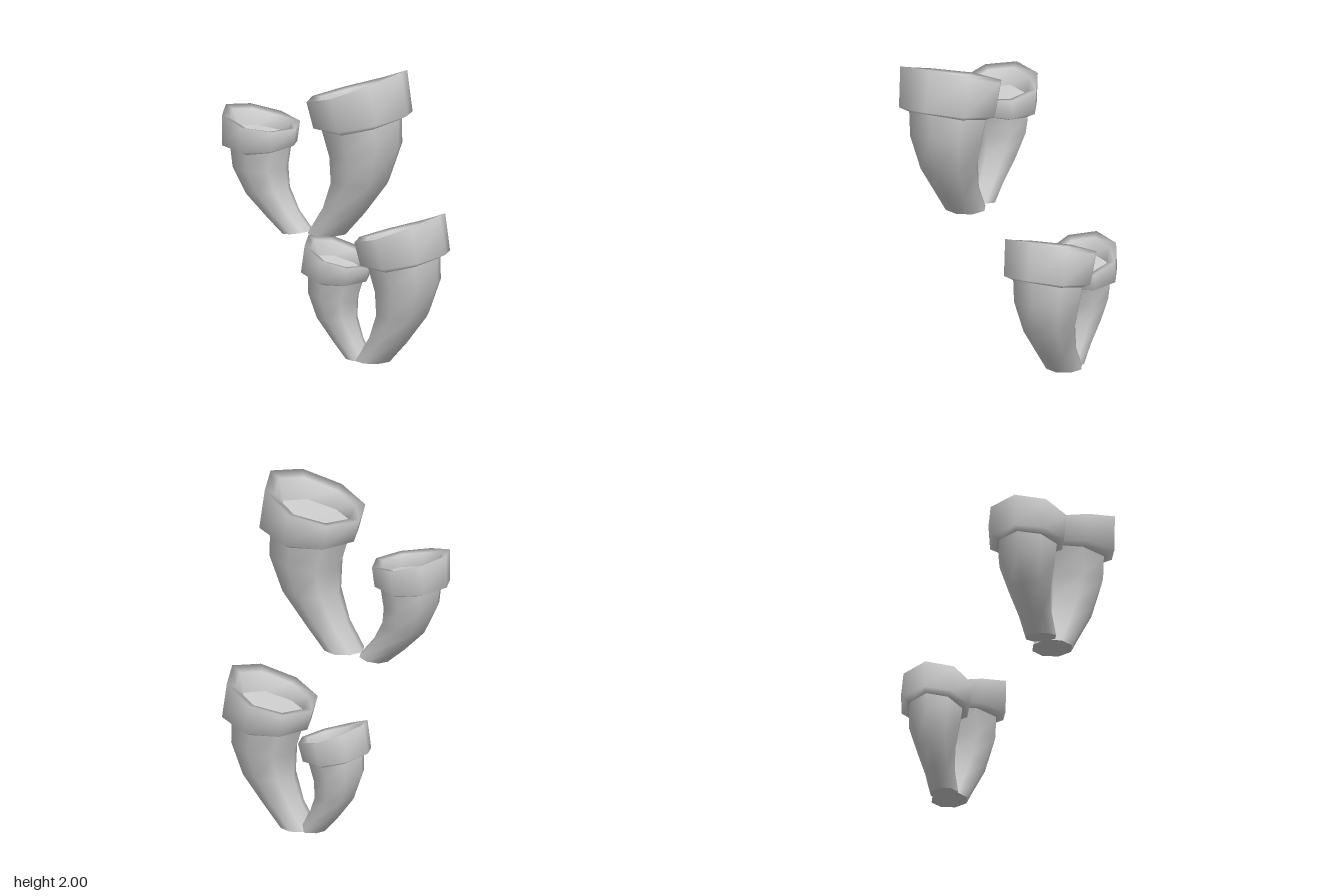
import * as THREE from 'three';

const SIDES = 8;
// Cross-sections: [inner x, inner y, outer x, outer y, half depth, sag at front and back]
const STALK = [
  [0.0, 0.0, 0.25, 0.0, 0.128, 0],
  [0.1, 0.16, 0.385, 0.15, 0.138, 0],
  [0.165, 0.345, 0.54, 0.35, 0.182, 0],
  [0.165, 0.505, 0.62, 0.59, 0.236, 0],
  [0.11, 0.69, 0.62, 0.76, 0.25, 0.04],
];
const RIM = [
  STALK[4],
  [0.06, 0.7, 0.685, 0.795, 0.315, 0.03],
  [0.02, 0.84, 0.64, 1.06, 0.333, 0.025],
  [0.08, 0.845, 0.58, 1.02, 0.262, 0.025],
  [0.09, 0.74, 0.55, 0.88, 0.245, 0.02],
];
const FLOOR = [RIM[4], [0.32, 0.795, 0.32, 0.795, 0, 0]];
const FOOT = [[0.125, 0, 0.125, 0, 0, 0], STALK[0]];

// Skin a stack of tilted eight-sided rings
function loft(rings) {
  const pos = [], index = [];
  for (const [x0, y0, x1, y1, hz, sag] of rings) {
    for (let k = 0; k < SIDES; k++) {
      const a = (k / SIDES) * Math.PI * 2, c = Math.cos(a), s = Math.sin(a);
      pos.push(
        (x0 + x1) / 2 + (c * (x1 - x0)) / 2,
        (y0 + y1) / 2 + (c * (y1 - y0)) / 2 - sag * s * s,
        s * hz
      );
    }
  }
  for (let i = 0; i < rings.length - 1; i++) {
    for (let k = 0; k < SIDES; k++) {
      const a = i * SIDES + k, b = i * SIDES + ((k + 1) % SIDES);
      index.push(a, a + SIDES, b, b, a + SIDES, b + SIDES);
    }
  }
  const g = new THREE.BufferGeometry();
  g.setAttribute('position', new THREE.Float32BufferAttribute(pos, 3));
  g.setIndex(index);
  g.computeVertexNormals();
  return g;
}

export function createModel() {
  const root = new THREE.Group();
  root.name = 'cupCluster';
  const material = new THREE.MeshStandardMaterial({ color: 0xcccccc });
  const parts = {
    foot: loft(FOOT),
    stalk: loft(STALK),
    rim: loft(RIM),
    cupFloor: loft(FLOOR),
  };

  // Each cup is the same curved shape, placed at the inner tip of its foot
  const addCup = (name, x, y, z, scale, turn = 0, tilt = 0) => {
    const cup = new THREE.Group();
    cup.name = name;
    for (const [part, geometry] of Object.entries(parts)) {
      const mesh = new THREE.Mesh(geometry, material);
      mesh.name = part;
      cup.add(mesh);
    }
    cup.position.set(x, y, z);
    cup.rotation.set(0, turn, tilt);
    cup.scale.setScalar(scale);
    root.add(cup);
  };

  // Upper pair in front, lower pair behind; the small cups face the other way
  addCup('upperLargeCup', -0.05, 0.94, 0.303, 1);
  addCup('upperSmallCup', -0.04, 0.935, 0.303, 0.755, Math.PI, -0.145);
  addCup('lowerLargeCup', -0.082, 0, -0.342, 0.903);
  addCup('lowerSmallCup', 0.022, 0, -0.342, 0.69, Math.PI);
  return root;
}
